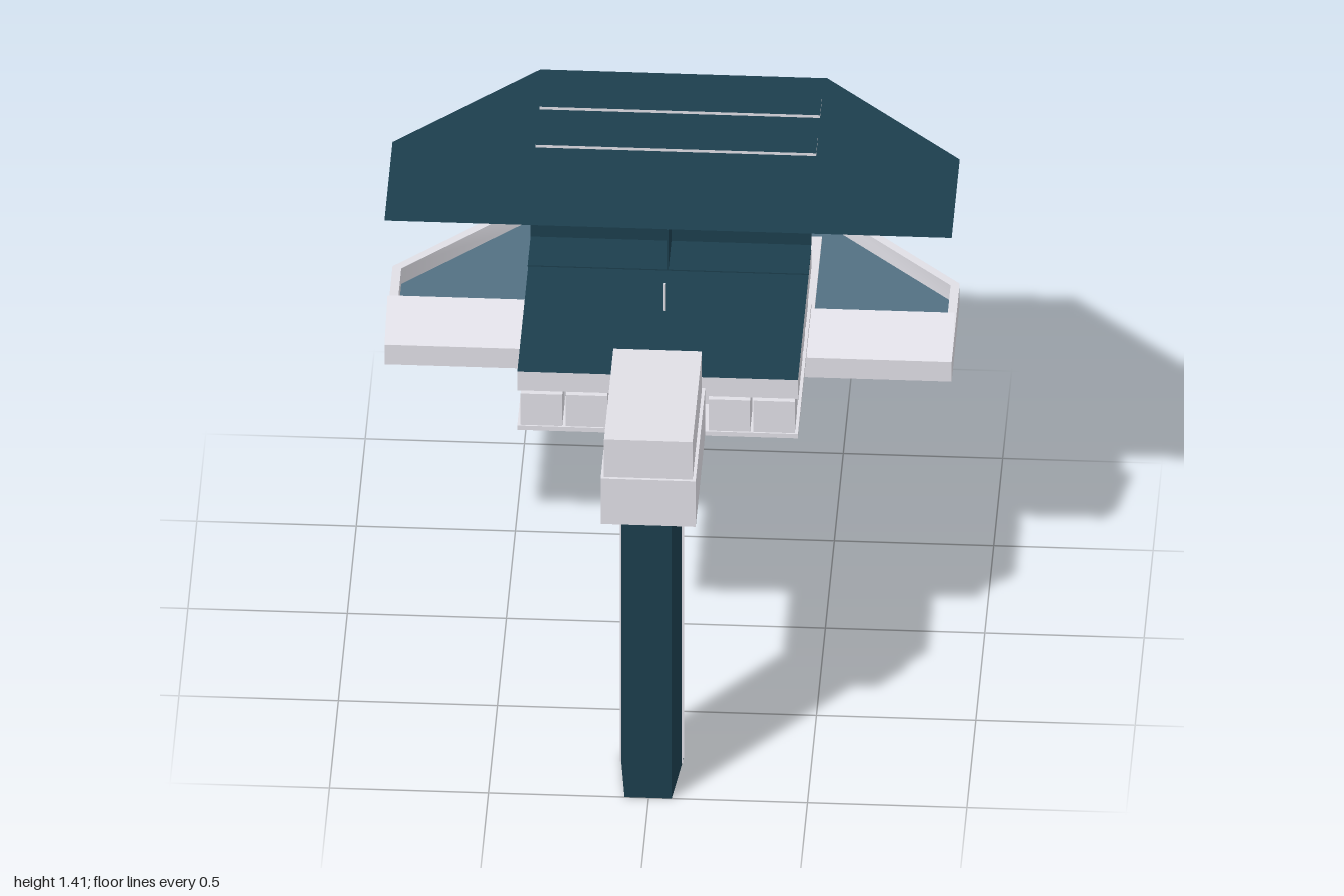
import * as THREE from 'three';
import { toCreasedNormals } from 'three/addons/utils/BufferGeometryUtils.js';

const mat = (name, color, side = THREE.FrontSide) => {
  const m = new THREE.MeshStandardMaterial({ color, side });
  m.name = name;
  return m;
};

export function createModel() {
  const root = new THREE.Group();
  const teal = mat('dark teal', 0x1c3e4d, THREE.DoubleSide);
  const grey = mat('light grey', 0xdfdee5, THREE.DoubleSide);
  const slate = mat('slate', 0x527082, THREE.DoubleSide);

  const add = (name, geo, material) => {
    const m = new THREE.Mesh(geo, material);
    m.name = name;
    root.add(m);
    return m;
  };
  // box given by its limits on each axis
  const box = (name, x0, x1, y0, y1, z0, z1, material) => {
    const m = add(name, new THREE.BoxGeometry(x1 - x0, y1 - y0, z1 - z0), material);
    m.position.set((x0 + x1) / 2, (y0 + y1) / 2, (z0 + z1) / 2);
    return m;
  };
  // [x, z] outlines extruded upward from y0 to y1, shallow corners smooth
  const pts = (list) => list.map(([x, z]) => new THREE.Vector2(x, -z));
  const plate = (name, outline, holes, y0, y1, material) => {
    const shape = new THREE.Shape(pts(outline));
    holes.forEach((h) => shape.holes.push(new THREE.Path(pts(h))));
    const g = new THREE.ExtrudeGeometry(shape, { depth: y1 - y0, bevelEnabled: false });
    g.rotateX(-Math.PI / 2).translate(0, y0, 0);
    return add(name, toCreasedNormals(g, 0.9), material);
  };
  const rect = (x, z0, z1) => [[-x, z1], [x, z1], [x, z0], [-x, z0]];
  const wing = (i) => [
    [-0.89 + i, -0.11 - i], [0.89 - i, -0.11 - i], [0.89 - i, -0.56 + i * 0.4],
    [0.45 - i * 0.4, -1 + i], [-0.45 + i * 0.4, -1 + i], [-0.89 + i, -0.56 + i * 0.4],
  ];

  // Column: tapered channel, open at the back, with light edge strips
  plate('column', [
    [-0.075, 1], [0.075, 1], [0.1, 0.765], [0.075, 0.765], [0.06, 0.96],
    [-0.06, 0.96], [-0.075, 0.765], [-0.1, 0.765],
  ], [], 0, 1.02, teal);
  for (const s of [-1, 1]) {
    box('columnEdge', s * 0.088 - 0.013, s * 0.088 + 0.013, 0.005, 1.02, 0.76, 0.775, grey);
    box('columnSideStrip', s * 0.096 - 0.004, s * 0.096 + 0.004, 0.005, 1.02, 0.795, 0.805, grey);
    box('columnInnerStrip', s * 0.068 - 0.006, s * 0.068 + 0.006, 0.005, 1.02, 0.8, 0.81, grey);
  }
  box('columnFoot', -0.075, 0.075, 0, 0.012, 0.775, 0.97, teal);
  box('columnFootEdge', -0.075, 0.075, 0.012, 0.025, 0.765, 0.775, grey);

  // Stacked boxes over the column
  box('lowerArm', -0.15, 0.15, 1.02, 1.19, 0.465, 1, grey);
  box('upperArm', -0.14, 0.14, 1.19, 1.33, 0.47, 0.99, grey);

  // Main body: floor, core, side blocks and roof slab
  box('bodyFloor', -0.44, 0.44, 1.012, 1.028, -0.28, 0.465, [grey, grey, grey, slate, grey, grey]);
  box('bodyCore', -0.28, 0.28, 1.028, 1.16, -0.26, 0.31, grey);
  box('bodySlab', -0.44, 0.44, 1.16, 1.23, -0.28, 0.465, [grey, grey, teal, grey, grey, grey]);
  for (const s of [-1, 1]) {
    for (let i = 0; i < 5; i++) {
      const z = 0.395 - i * 0.15;
      box('sideBlock', s * 0.365 - 0.065, s * 0.365 + 0.065, 1.028, 1.145, z - 0.065, z + 0.065, grey);
    }
    box('frontBlock', s * 0.225 - 0.065, s * 0.225 + 0.065, 1.028, 1.145, 0.33, 0.46, grey);
    box('blockPost', s * 0.365 - 0.05, s * 0.365 + 0.05, 1.145, 1.16, -0.26, 0.44, grey);
    box('bridgePad', s * 0.35 - 0.07, s * 0.35 + 0.07, 1.23, 1.248, -0.265, -0.165, grey);
    box('deckConnector', s * 0.35 - 0.07, s * 0.35 + 0.07, 0.88, 1.012, -0.275, -0.15, grey);

    // Sloped panel rising from the front edge of the deck
    const panel = add('slopedPanel', new THREE.PlaneGeometry(0.47, 0.185), grey);
    panel.rotation.x = -Math.atan2(0.17, 0.075);
    panel.position.set(s * 0.655, 0.975, -0.195);

    // Hanging rods under the canopy
    const rod = add('hangingRod', new THREE.CylinderGeometry(0.004, 0.004, 0.1, 8), grey);
    rod.position.set(s * 0.52, 1.35, -0.56);
    const foot = add('rodFoot', new THREE.CylinderGeometry(0.018, 0.018, 0.005, 10), grey);
    foot.position.set(s * 0.52, 1.3, -0.56);
  }
  const middleScreen = add('middleScreen', new THREE.PlaneGeometry(0.56, 0.075), grey);
  middleScreen.position.set(0, 0.975, -0.28);
  const mast = add('mast', new THREE.CylinderGeometry(0.004, 0.004, 0.1, 8), grey);
  mast.position.set(0, 1.28, 0.09);

  // Bridge: floor, back wall and middle fin, under the flat canopy
  box('bridgeFloor', -0.44, 0.44, 1.248, 1.252, -0.28, -0.11, teal);
  box('bridgeBackWall', -0.44, 0.44, 1.252, 1.4, -0.28, -0.275, teal);
  box('bridgeFin', -0.003, 0.003, 1.252, 1.4, -0.275, -0.11, teal);
  const canopy = new THREE.ShapeGeometry(new THREE.Shape(pts(wing(0))));
  canopy.rotateX(-Math.PI / 2).translate(0, 1.403, 0);
  add('canopy', canopy, teal);
  for (const z of [-0.607, -0.825]) {
    box('canopyStrip', -0.44, 0.44, 1.397, 1.413, z - 0.053, z + 0.053,
      [grey, grey, teal, teal, grey, grey]);
  }

  // Lower deck: thin rim, floor and coaming around the opening
  const opening = rect(0.33, -0.84, -0.57);
  plate('deckRim', wing(0), [wing(0.028)], 0.865, 0.938, grey);
  plate('deckFloor', wing(0.025), [opening], 0.868, 0.88, slate);
  plate('deckCentre', rect(0.44, -0.88, -0.14), [opening], 0.88, 0.888, grey);
  plate('coaming', rect(0.36, -0.87, -0.54), [opening], 0.888, 0.91, grey);
  box('deckBench', -0.33, 0.33, 0.888, 0.943, -0.545, -0.385, grey);

  // Frame below the opening
  plate('lowerFrame', [
    [-0.39, -0.46], [0.39, -0.46], [0.39, -0.86], [0.34, -0.945], [-0.34, -0.945], [-0.39, -0.86],
  ], [opening], 0.81, 0.866, grey);

  // Flat bracket and hanging step ring
  const bracket = new THREE.ShapeGeometry(new THREE.Shape([
    [0.475, 0.83], [0.475, 0.725], [0.505, 0.71], [0.525, 0.59], [0.563, 0.59],
    [0.553, 0.71], [0.53, 0.73], [0.53, 0.83],
  ].map(([x, y]) => new THREE.Vector2(x, y))));
  bracket.rotateY(Math.PI / 2).translate(0.4, 0, 0);
  add('bracket', bracket, teal);
  plate('stepRing', rect(0.34, -0.9, -0.48), [rect(0.328, -0.888, -0.492)], 0.593, 0.604, grey);

  return root;
}
